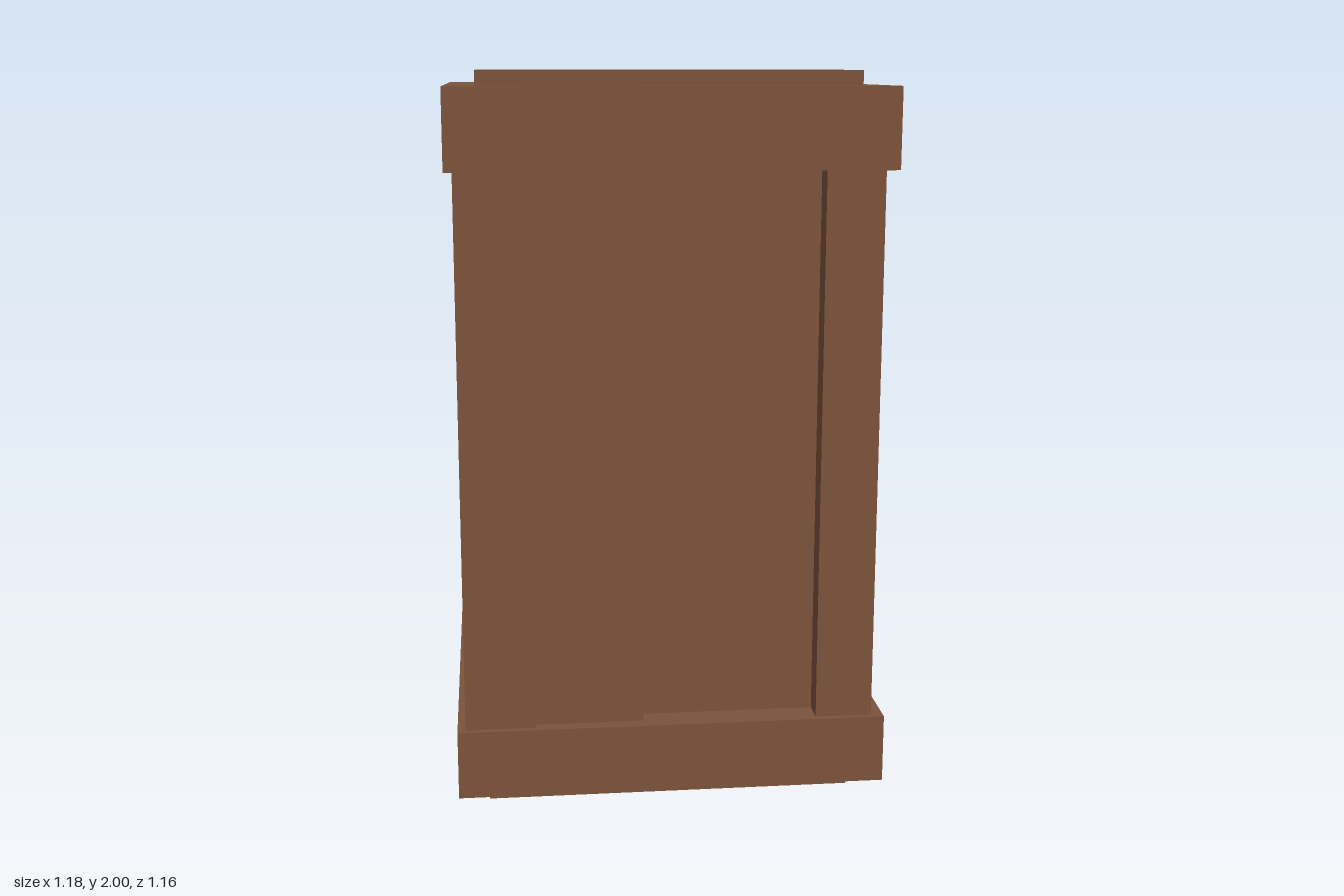
import * as THREE from 'three';

export function createModel() {
  const group = new THREE.Group();
  group.name = 'woodenCrate';
  const wood = new THREE.MeshStandardMaterial({ color: 0x7b533b });
  wood.name = 'brown wood';

  // Box given by its extents along each axis
  const box = (name, [x0, x1], [y0, y1], [z0, z1]) => {
    const mesh = new THREE.Mesh(new THREE.BoxGeometry(x1 - x0, y1 - y0, z1 - z0), wood);
    mesh.name = name;
    mesh.position.set((x0 + x1) / 2, (y0 + y1) / 2, (z0 + z1) / 2);
    group.add(mesh);
  };

  const low = 0.235, high = 1.745;
  const wall = [low, high];

  // Inner body, showing as the thin top and bottom steps and the recessed walls
  box('body', [-0.508, 0.505], [0, 2], [-0.495, 0.492]);

  // Wide bands around the bottom and top
  box('baseBand', [-0.592, 0.59], [0.045, low], [-0.58, 0.578]);
  box('topBand', [-0.592, 0.59], [high, 1.96], [-0.58, 0.578]);

  // Corner posts; the front left one is slightly narrower
  box('frontRightPost', [-0.57, -0.38], wall, [0.365, 0.56]);
  box('frontLeftPost', [0.4, 0.557], wall, [0.365, 0.56]);
  box('backRightPost', [-0.57, -0.38], wall, [-0.555, -0.36]);
  box('backLeftPost', [0.38, 0.568], wall, [-0.555, -0.36]);

  // Raised upright boards on the front and back
  box('frontBoard', [-0.38, -0.08], wall, [0.45, 0.54]);
  box('backBoard', [-0.38, -0.08], wall, [-0.535, -0.45]);

  // Raised half panels on the sides: low on the left, high on the right
  box('leftLowerPanel', [0.45, 0.537], [low, 0.88], [-0.36, 0.365]);
  box('rightUpperPanel', [-0.54, -0.45], [1.3, high], [-0.36, 0.365]);

  return group;
}
